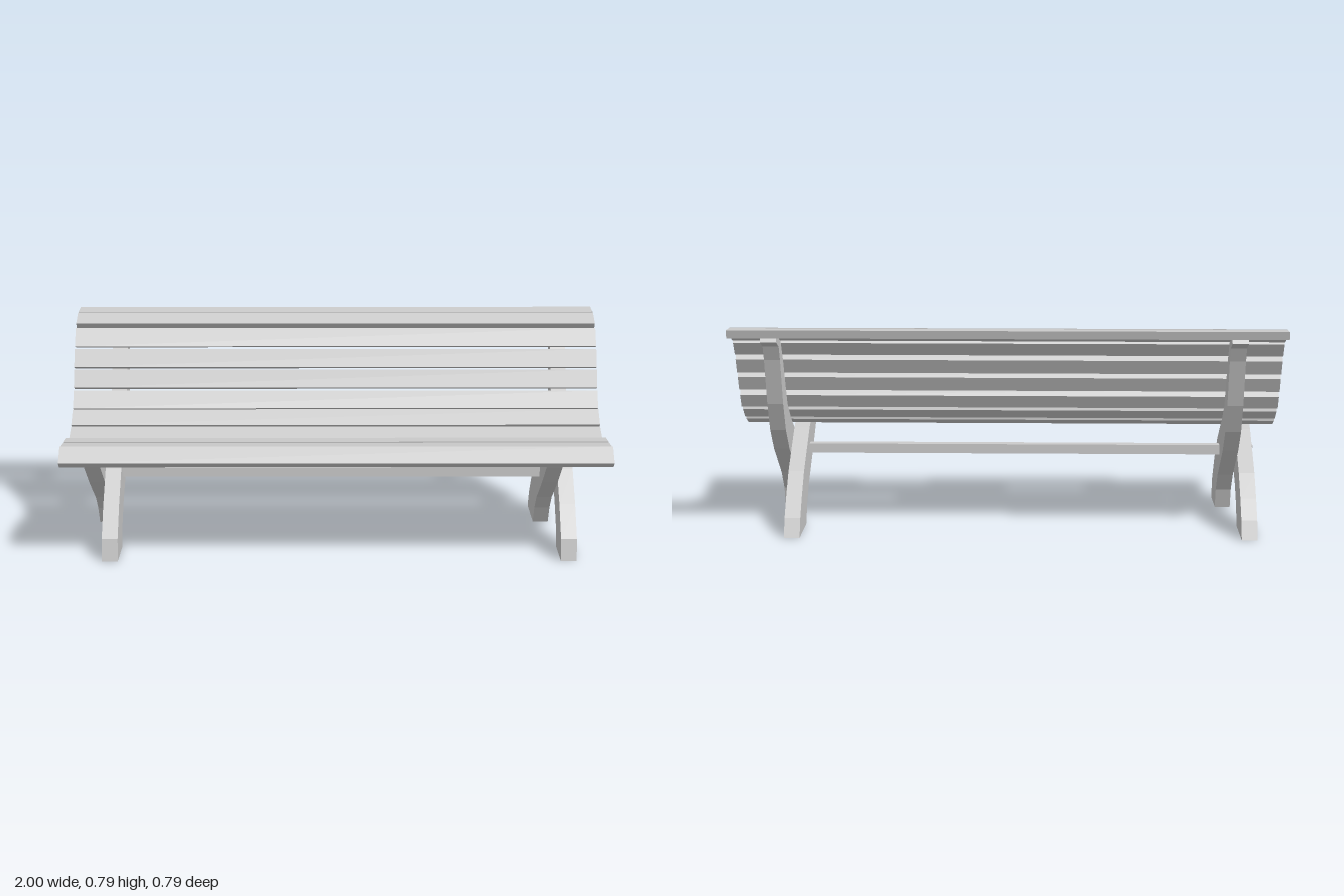
import * as THREE from 'three';

const material = new THREE.MeshStandardMaterial({ color: 0xcccccc, flatShading: true });

// Side profiles are listed as [z, y] and extruded along x from x0 to x1.
function board(name, profile, x0, x1) {
  const shape = new THREE.Shape(profile.map(([z, y]) => new THREE.Vector2(-z, y)));
  const geometry = new THREE.ExtrudeGeometry(shape, { depth: x1 - x0, bevelEnabled: false });
  geometry.rotateY(Math.PI / 2).translate(x0, 0, 0);
  const mesh = new THREE.Mesh(geometry, material);
  mesh.name = name;
  return mesh;
}

// Long support: front foot sweeping up to the top of the backrest
const backSupport = [
  [0.345, 0], [0.328, 0.08], [0.245, 0.186], [0.137, 0.29], [-0.027, 0.396], [-0.113, 0.466],
  [-0.209, 0.659], [-0.256, 0.729], [-0.326, 0.754], [-0.36, 0.756], [-0.37, 0.743],
  [-0.306, 0.716], [-0.281, 0.663], [-0.228, 0.489], [-0.173, 0.379], [-0.09, 0.29],
  [0.092, 0.154], [0.158, 0.077], [0.183, 0],
];

// Short support: rear foot crossing forward to carry the seat
const seatSupport = [
  [0.338, 0.396], [0.162, 0.381], [0.063, 0.34], [-0.056, 0.262], [-0.13, 0.213],
  [-0.209, 0.135], [-0.266, 0.067], [-0.298, 0], [-0.099, 0], [-0.058, 0.071],
  [0.003, 0.135], [0.065, 0.175], [0.175, 0.251], [0.302, 0.347],
];

// Slat cross-sections from the seat's front lip to the top of the backrest
const slats = [
  [[0.395, 0.391], [0.34, 0.438], [0.33, 0.415], [0.372, 0.37]],
  [[0.315, 0.43], [0.243, 0.423], [0.256, 0.391], [0.315, 0.398]],
  [[0.23, 0.423], [0.158, 0.417], [0.16, 0.385], [0.228, 0.391]],
  [[0.145, 0.413], [0.08, 0.387], [0.094, 0.362], [0.152, 0.376]],
  [[0.069, 0.387], [0.001, 0.415], [0.001, 0.385], [0.056, 0.36]],
  [[-0.001, 0.421], [-0.06, 0.466], [-0.069, 0.436], [-0.022, 0.398]],
  [[-0.067, 0.468], [-0.107, 0.527], [-0.126, 0.502], [-0.099, 0.453]],
  [[-0.111, 0.538], [-0.143, 0.601], [-0.166, 0.578], [-0.141, 0.525]],
  [[-0.145, 0.61], [-0.179, 0.673], [-0.203, 0.65], [-0.177, 0.597]],
  [[-0.186, 0.682], [-0.23, 0.743], [-0.249, 0.72], [-0.215, 0.671]],
  [[-0.245, 0.758], [-0.311, 0.786], [-0.313, 0.754], [-0.262, 0.731]],
  [[-0.323, 0.786], [-0.395, 0.79], [-0.387, 0.76], [-0.33, 0.756]],
];

export function createModel() {
  const bench = new THREE.Group();
  bench.name = 'bench';

  slats.forEach((profile, i) => bench.add(board(i < 5 ? 'seatSlat' : 'backSlat', profile, -1, 1)));

  // Crossed supports side by side, in the same order at both ends
  for (const [side, x] of [['right', -0.859], ['left', 0.826]]) {
    const frame = new THREE.Group();
    frame.name = side + 'Frame';
    frame.add(board('seatSupport', seatSupport, x - 0.058, x));
    frame.add(board('backSupport', backSupport, x, x + 0.058));
    bench.add(frame);
  }

  // Square stretcher bar through both crossings
  const bar = new THREE.Mesh(new THREE.BoxGeometry(1.816, 0.036, 0.036), material);
  bar.name = 'stretcherBar';
  bar.position.set(-0.018, 0.261, 0.065);
  bench.add(bar);

  return bench;
}
